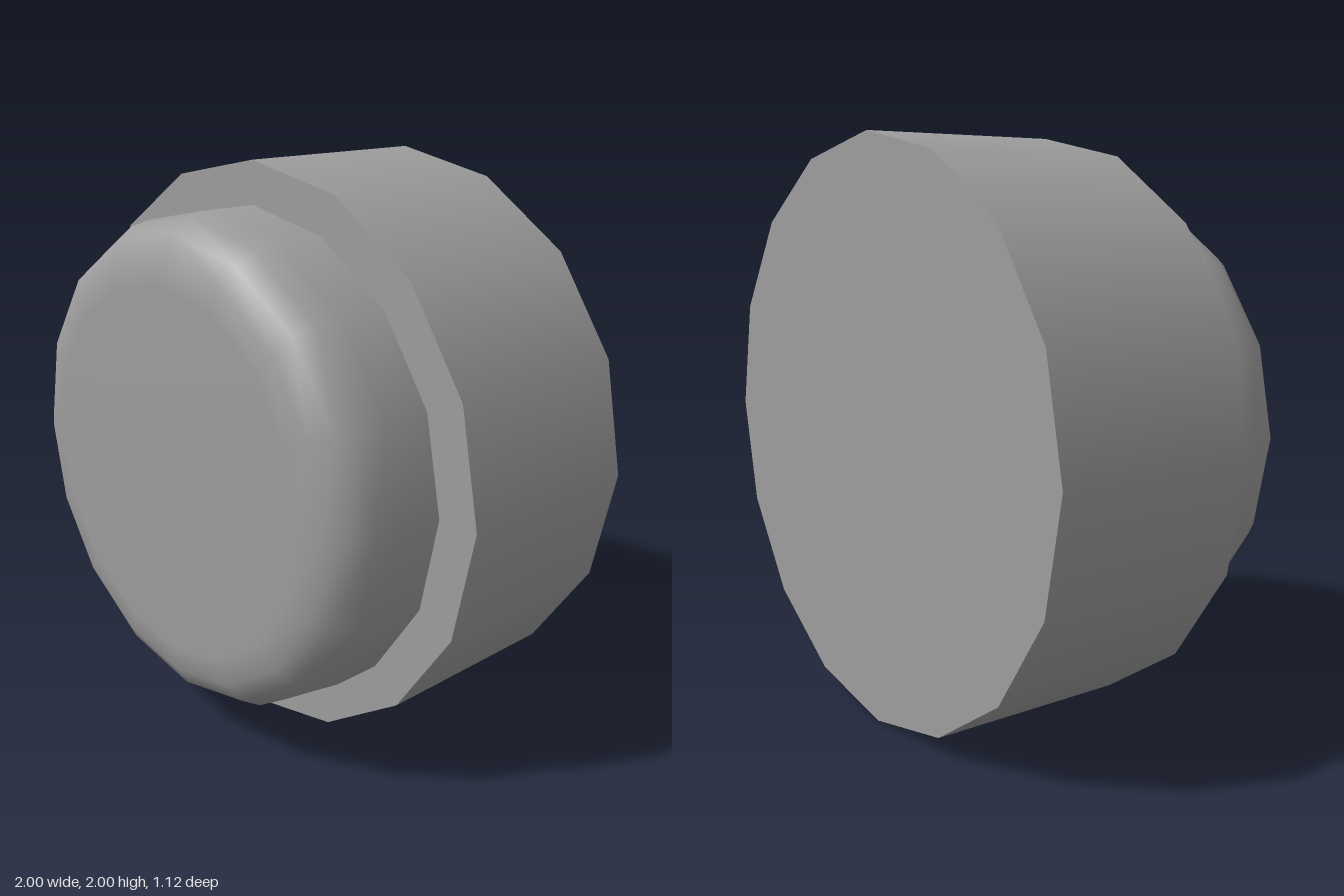
import * as THREE from 'three';

const SIDES = 16;

export function createModel() {
  const model = new THREE.Group();
  const material = new THREE.MeshStandardMaterial({ color: 0x9d9d9d });

  // Each part is turned about y, then laid over so its axis points to +z
  const addPart = (name, geometry, z) => {
    geometry.rotateX(Math.PI / 2);
    const mesh = new THREE.Mesh(geometry, material);
    mesh.name = name;
    mesh.position.set(0, 1, z);
    model.add(mesh);
  };

  // Wide drum at the back
  const back = -0.558, step = 0.173;
  addPart('base', new THREE.CylinderGeometry(1, 1, step - back, SIDES), (step + back) / 2);

  // Narrower button with a rounded rim and a flat face
  const profile = [
    [0.855, step], [0.855, 0.345], [0.838, 0.437], [0.797, 0.503],
    [0.73, 0.543], [0.635, 0.558], [0, 0.558],
  ].map(([r, z]) => new THREE.Vector2(r, z));
  addPart('button', new THREE.LatheGeometry(profile, SIDES), 0);

  return model;
}
